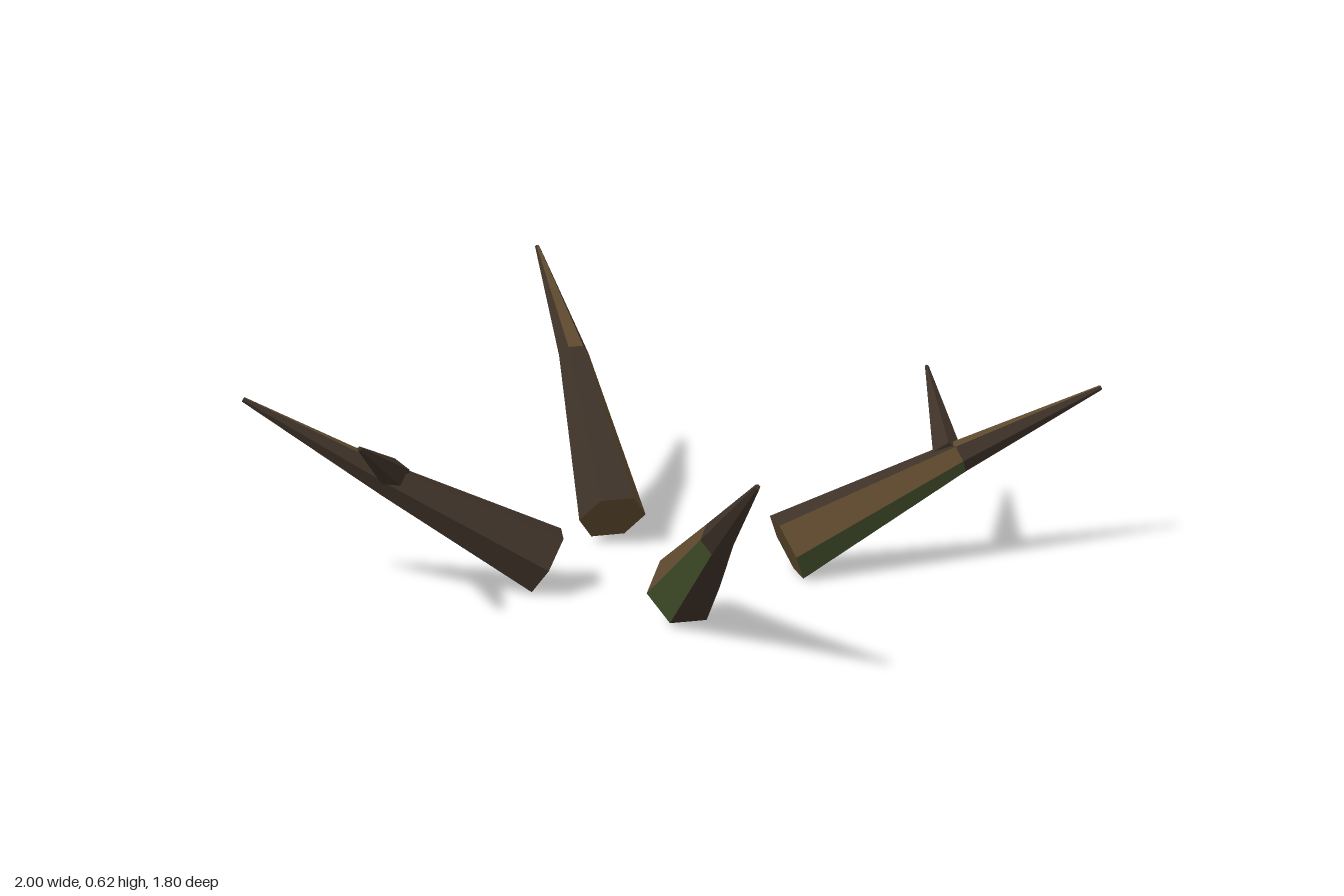
import * as THREE from 'three';

const material = (name, color) => Object.assign(new THREE.MeshStandardMaterial({ color }), { name });

// Faceted tapering tube through path points; the sides run counter-clockwise
// from the right-hand side when looking along the path.
function taper(name, points, radii, sides, startAngle, faceColours, materials, capColour) {
  const pts = points.map(p => new THREE.Vector3(...p));
  const dir = pts[pts.length - 1].clone().sub(pts[0]).normalize();
  const right = dir.clone().cross(new THREE.Vector3(0, 1, 0)).normalize();
  const up = right.clone().cross(dir);
  const rings = pts.map((p, i) => Array.from({ length: sides }, (_, k) => {
    const a = startAngle + (k / sides) * Math.PI * 2;
    return p.clone()
      .addScaledVector(right, Math.cos(a) * radii[i])
      .addScaledVector(up, Math.sin(a) * radii[i]);
  }));
  const positions = [];
  const geometry = new THREE.BufferGeometry();
  const add = (colour, ...corners) => {
    geometry.addGroup(positions.length / 3, corners.length, colour);
    corners.forEach(v => positions.push(v.x, v.y, v.z));
  };
  const last = rings.length - 1;
  for (let k = 0; k < sides; k++) {
    const n = (k + 1) % sides;
    for (let i = 0; i < last; i++) {
      const a = rings[i][k], b = rings[i][n], c = rings[i + 1][n], d = rings[i + 1][k];
      add(faceColours[i][k], a, d, c, a, c, b);
    }
    add(capColour, pts[0], rings[0][k], rings[0][n]);
    add(0, pts[last], rings[last][n], rings[last][k]);
  }
  geometry.setAttribute('position', new THREE.Float32BufferAttribute(positions, 3));
  geometry.computeVertexNormals();
  const mesh = new THREE.Mesh(geometry, materials);
  mesh.name = name;
  return mesh;
}

export function createModel() {
  const model = new THREE.Group();
  model.name = 'roots';
  const materials = [
    material('dark bark', 0x3e3228),
    material('light bark', 0x5e4a2e),
    material('moss', 0x47552e),
  ];

  // Base, bend and tip of each root, with an optional side shoot
  const roots = [
    { name: 'leftRoot', path: [[0.235, 0.07, 0.045], [0.645, 0.265, -0.02], [0.995, 0.412, -0.09]],
      shoot: [[0.62, 0.268, -0.02], [0.63, 0.39, -0.425]] },
    { name: 'rightRoot', path: [[-0.327, 0.071, 0.115], [-0.68, 0.275, 0.143], [-0.997, 0.472, 0.155]],
      shoot: [[-0.668, 0.288, 0.14], [-0.717, 0.443, 0.487]] },
    { name: 'backRoot', path: [[-0.165, 0.072, -0.215], [-0.25, 0.395, -0.582], [-0.34, 0.618, -0.9]] },
    { name: 'frontRoot', path: [[-0.025, 0.072, 0.355], [0.032, 0.277, 0.635], [0.09, 0.463, 0.897]] },
  ];

  const rootColours = [[1, 0, 0, 0, 0, 2], [0, 1, 0, 0, 0, 0]];
  const shootColours = [[0, 0, 0, 0, 2]];

  for (const { name, path, shoot } of roots) {
    const group = new THREE.Group();
    group.name = name;
    group.add(taper('rootStem', path, [0.084, 0.039, 0.006], 6, 0, rootColours, materials, 1));
    if (shoot) {
      group.add(taper('sideShoot', shoot, [0.037, 0.005], 5, Math.PI / 10, shootColours, materials, 0));
    }
    model.add(group);
  }
  return model;
}
